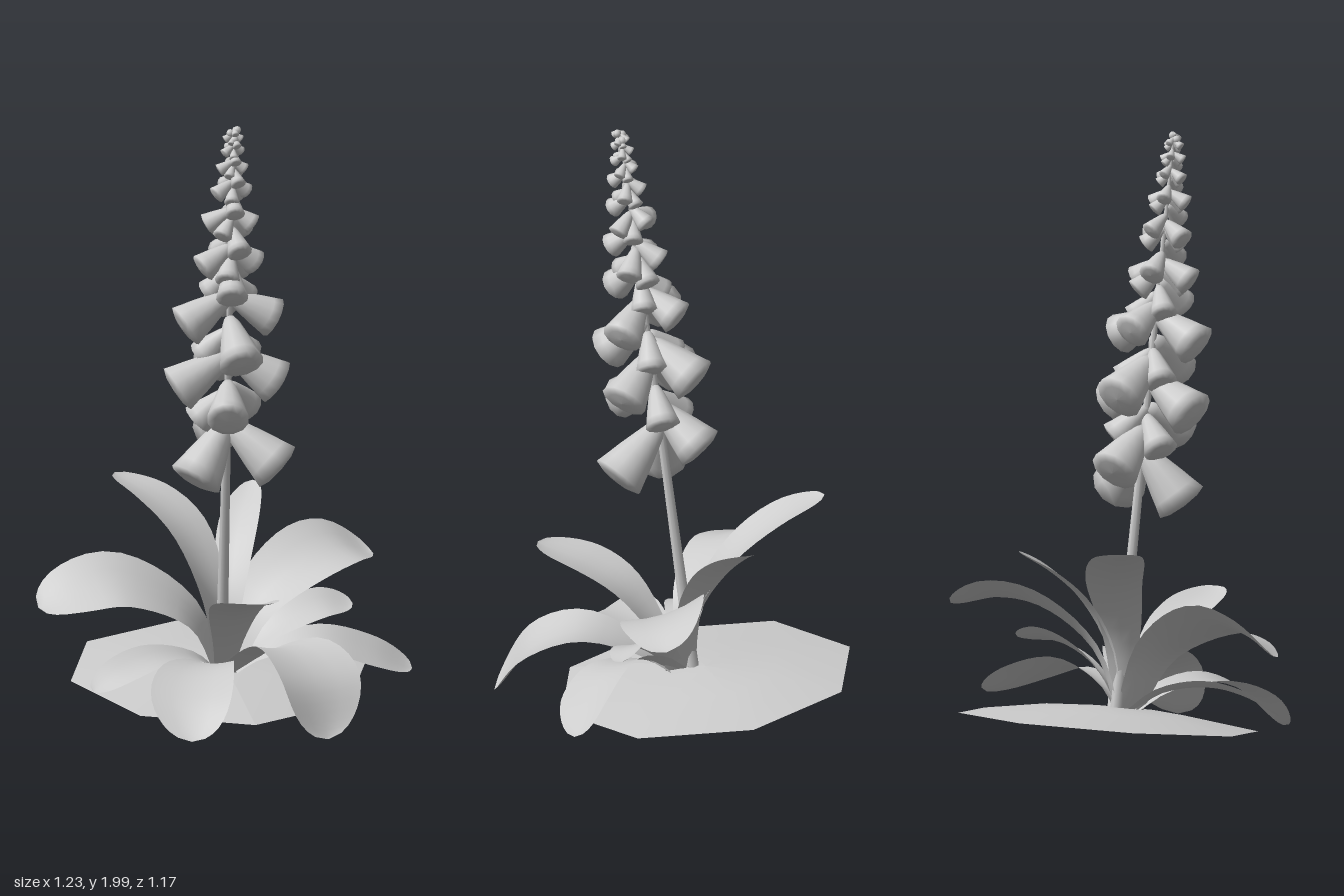
import * as THREE from 'three';

const grey = new THREE.MeshStandardMaterial({ color: 0xcccccc, side: THREE.DoubleSide });
grey.name = 'paleGrey';

const V = (x, y, z) => new THREE.Vector3(x, y, z);
const UP = V(0, 1, 0);

// centre of the leaning stem at a given height
const stemAt = (y) => V(-0.016 * (y - 0.13), y, (y - 0.43) * 0.15);

function addMesh(parent, name, geometry) {
  const mesh = new THREE.Mesh(geometry, grey);
  mesh.name = name;
  parent.add(mesh);
  return mesh;
}

// grid of points joined row by row into a smooth sheet
function sheet(rows) {
  const pos = [], index = [], n = rows[0].length;
  rows.forEach((row) => row.forEach((p) => pos.push(p.x, p.y, p.z)));
  for (let i = 0; i < rows.length - 1; i++) {
    for (let j = 0; j < n - 1; j++) {
      const a = i * n + j, b = a + n;
      index.push(a, a + 1, b, b, a + 1, b + 1);
    }
  }
  const g = new THREE.BufferGeometry();
  g.setAttribute('position', new THREE.Float32BufferAttribute(pos, 3));
  g.setIndex(index);
  g.computeVertexNormals();
  return g;
}

// broad leaf following a midrib, rolled about it and slightly channelled
function leafGeometry(points, width, roll) {
  const curve = new THREE.CatmullRomCurve3(points.map((p) => V(...p)));
  const tip = curve.getPoint(1);
  const dir = V(tip.x, 0, tip.z).normalize();
  const flat = new THREE.Vector3().crossVectors(dir, UP);
  const rows = [], N = 18, widest = 0.7;
  for (let i = 0; i <= N; i++) {
    const t = 1 - Math.pow(1 - i / N, 1.4);
    const p = curve.getPointAt(t), tan = curve.getTangentAt(t);
    const normal = new THREE.Vector3().crossVectors(flat, tan).normalize();
    const side = flat.clone().multiplyScalar(Math.cos(roll)).addScaledVector(normal, Math.sin(roll));
    const lift = new THREE.Vector3().crossVectors(side, tan).normalize();
    const u = Math.max(0, (t - widest) / (1 - widest));
    const half = width / 2 * (0.36 + 0.64 * THREE.MathUtils.smoothstep(t, 0, widest)) * Math.sqrt(Math.max(0, 1 - u * u));
    const row = [];
    for (let j = -2; j <= 2; j++) {
      const s = j / 2;
      row.push(p.clone().addScaledVector(side, s * half).addScaledVector(lift, (s * s - 0.5) * half * 0.16));
    }
    rows.push(row);
  }
  return sheet(rows);
}

// midrib points (after the shared root), width, roll
const LEAVES = [
  ['leftLeaf', [[-0.12, 0.32, 0.02], [-0.35, 0.44, 0.015], [-0.5, 0.42, 0], [-0.62, 0.36, -0.03]], 0.29, 0.45],
  ['backLeftLeaf', [[-0.03, 0.38, -0.06], [-0.08, 0.56, -0.17], [-0.17, 0.66, -0.28], [-0.27, 0.71, -0.39]], 0.19, 0],
  ['backRightLeaf', [[0.03, 0.34, -0.05], [0.07, 0.5, -0.14], [0.12, 0.6, -0.24], [0.18, 0.67, -0.34]], 0.14, 0.15],
  ['rightLeaf', [[0.1, 0.32, -0.03], [0.28, 0.46, -0.08], [0.42, 0.49, -0.15], [0.54, 0.45, -0.22]], 0.29, -0.35],
  ['rightMiddleLeaf', [[0.1, 0.22, 0.02], [0.2, 0.29, 0.03], [0.32, 0.33, 0.02], [0.43, 0.32, 0]], 0.16, -0.45],
  ['rightLowLeaf', [[0.1, 0.18, 0.04], [0.28, 0.23, 0.1], [0.46, 0.18, 0.11], [0.61, 0.11, 0.08]], 0.21, -0.3],
  ['leftLowLeaf', [[-0.1, 0.18, 0.05], [-0.25, 0.21, 0.11], [-0.38, 0.18, 0.16], [-0.49, 0.12, 0.185]], 0.15, 0.3],
  ['frontLeftLeaf', [[-0.07, 0.18, 0.12], [-0.16, 0.2, 0.28], [-0.22, 0.14, 0.42], [-0.25, 0.02, 0.54]], 0.27, 0],
  ['frontLeaf', [[-0.01, 0.24, 0.09], [-0.02, 0.36, 0.21], [-0.02, 0.42, 0.34], [0, 0.46, 0.52]], 0.2, 0],
  ['frontRightLeaf', [[0.07, 0.2, 0.12], [0.15, 0.26, 0.29], [0.2, 0.19, 0.45], [0.2, 0.01, 0.575]], 0.3, 0],
];

// rounded bell with a shallow closed mouth, unit length along +y
const bellGeometry = new THREE.LatheGeometry(
  [[0, 0], [0.1, 0.01], [0.17, 0.15], [0.24, 0.38], [0.31, 0.62], [0.36, 0.82], [0.41, 1], [0.26, 1.05], [0, 1.07]]
    .map(([x, y]) => new THREE.Vector2(x, y)), 12);

// a bell hanging outward: mouth height, compass angle from the front, length, droop
function addBell(parent, mouthY, angle, length, droop) {
  const out = V(Math.sin(angle) * Math.cos(droop), -Math.sin(droop), Math.cos(angle) * Math.cos(droop));
  const bell = addMesh(parent, 'bellFlower', bellGeometry);
  bell.quaternion.setFromUnitVectors(UP, out);
  bell.position.copy(stemAt(mouthY + length * Math.sin(droop)));
  bell.scale.setScalar(length);
}

export function createModel() {
  const model = new THREE.Group();
  model.name = 'flowerPlant';

  // tilted eight-sided ground mound with a raised middle ring
  const mound = new THREE.ConeGeometry(0.495, 0.05, 8, 2, true);
  const p = mound.attributes.position;
  for (let i = 0; i < p.count; i++) {
    const y = p.getY(i), z = p.getZ(i);
    const bulge = Math.abs(y) < 0.01 ? 0.013 : 0;
    p.setXYZ(i, p.getX(i), y + bulge + 0.117 - 0.126 * z, z - 0.092);
  }
  mound.computeVertexNormals();
  addMesh(model, 'groundMound', mound);

  // leaning, tapering stem
  const bottom = stemAt(0.1), top = stemAt(1.98);
  const axis = top.clone().sub(bottom);
  const stem = addMesh(model, 'stem', new THREE.CylinderGeometry(0.005, 0.021, axis.length(), 8));
  stem.quaternion.setFromUnitVectors(UP, axis.clone().normalize());
  stem.position.copy(bottom).addScaledVector(axis, 0.5);

  // rosette of leaves
  const leaves = new THREE.Group();
  leaves.name = 'leaves';
  model.add(leaves);
  for (const [name, pts, width, roll] of LEAVES) {
    addMesh(leaves, name, leafGeometry([[pts[0][0] * 0.15, 0.11, pts[0][2] * 0.15 - 0.01], ...pts], width, roll));
  }

  const flowers = new THREE.Group();
  flowers.name = 'flowers';
  model.add(flowers);

  // large lower bells: mouth height, angle, length, droop
  const largeBells = [
    [0.8, -1.15, 0.215, 0.92], [0.83, 1.1, 0.22, 0.7], [0.92, 3.1, 0.2, 0.65],
    [1.02, -0.25, 0.17, 0.55], [1.01, 2.3, 0.14, 0.75], [0.98, -2.0, 0.14, 0.8],
    [1.1, -1.6, 0.2, 0.55], [1.11, 1.45, 0.19, 0.6], [1.16, 3.1, 0.2, 0.55],
    [1.21, 0.05, 0.18, 0.75], [1.2, 2.2, 0.13, 0.8], [1.2, -2.2, 0.13, 0.8],
    [1.32, -1.5, 0.18, 0.55], [1.33, 1.55, 0.165, 0.5], [1.37, 3.1, 0.15, 0.5],
    [1.43, -0.2, 0.13, 0.75], [1.4, 2.2, 0.11, 0.8], [1.42, -2.3, 0.11, 0.8],
  ];
  for (const bell of largeBells) addBell(flowers, ...bell);

  // shrinking upper tiers: mouth height, length, height step, twist
  const tiers = [
    [1.52, 0.12, 0.06, 0.2], [1.66, 0.095, 0.05, -0.2], [1.77, 0.073, 0.04, 0.3],
    [1.85, 0.054, 0.03, 0], [1.91, 0.043, 0.025, 0.4], [1.955, 0.035, 0.02, 0],
  ];
  for (const [y, length, rise, twist] of tiers) {
    addBell(flowers, y, -Math.PI / 2 + twist, length, 0.55);
    addBell(flowers, y, Math.PI / 2 + twist, length * 0.9, 0.65);
    addBell(flowers, y + rise * 0.5, Math.PI + twist, length * 0.85, 0.6);
    addBell(flowers, y + rise, twist * 0.5, length * 0.85, 0.7);
    addBell(flowers, y - rise * 0.6, -0.6 + twist, length * 0.85, 0.75);
    addBell(flowers, y - rise * 0.5, 2.3 + twist, length * 0.85, 0.7);
  }

  // closed buds at the tip
  for (let i = 0; i < 4; i++) {
    const bud = addMesh(flowers, 'bud', new THREE.SphereGeometry(0.013, 8, 6));
    const a = i * 2.4;
    bud.position.copy(stemAt(1.955 + i * 0.0107)).add(V(Math.sin(a) * 0.012, 0, Math.cos(a) * 0.012));
  }
  return model;
}
